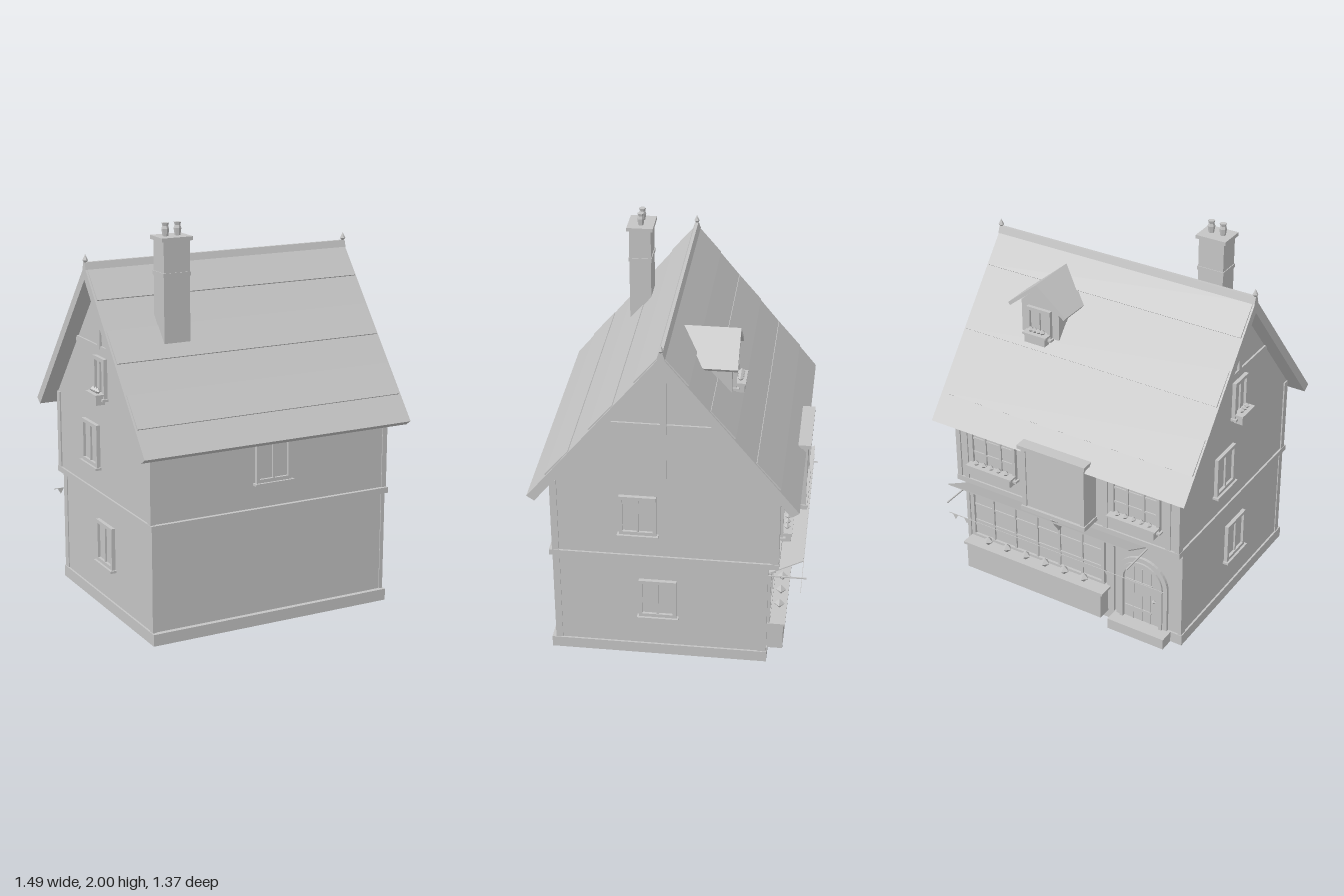
import * as THREE from 'three';

const stone = new THREE.MeshStandardMaterial({ color: 0xc4c4c4, side: THREE.DoubleSide, flatShading: true });
stone.name = 'plainGrey';

export function createModel() {
  const house = new THREE.Group();
  house.name = 'shopHouse';

  const add = (name, geo, parent = house) => {
    const m = new THREE.Mesh(geo, stone);
    m.name = name;
    parent.add(m);
    return m;
  };
  // Box given by its limits on each axis
  const box = (name, x0, x1, y0, y1, z0, z1, parent) => {
    const g = new THREE.BoxGeometry(x1 - x0, y1 - y0, z1 - z0);
    g.translate((x0 + x1) / 2, (y0 + y1) / 2, (z0 + z1) / 2);
    return add(name, g, parent);
  };
  // Profile of [z, y] points extruded along x, centred on cx
  const alongX = (name, pts, width, cx = 0) => {
    const s = new THREE.Shape(pts.map(p => new THREE.Vector2(...p)));
    const g = new THREE.ExtrudeGeometry(s, { depth: width, bevelEnabled: false });
    g.rotateY(-Math.PI / 2).translate(cx + width / 2, 0, 0);
    return add(name, g);
  };
  const gem = (name, x, y, z, r, parent) =>
    add(name, new THREE.OctahedronGeometry(r), parent).position.set(x, y, z);

  // Walls and plinth
  const RZ = 0.02, SLOPE = 0.81 / 0.663;
  box('plinth', -0.665, 0.665, 0, 0.06, -0.5, 0.605);
  box('groundFloor', -0.655, 0.655, 0.05, 0.6, -0.49, 0.58);
  alongX('upperFloor', [[0.58, 0.59], [0.58, 1.03], [RZ, 1.715], [-0.54, 1.03], [-0.54, 0.59]], 1.32);
  box('floorBand', -0.67, 0.67, 0.58, 0.61, -0.55, 0.6);
  for (const s of [-1, 1]) {
    const rim = (name, y0, y1, z0, z1, x) => box(name, Math.min(s * 0.64, s * x), Math.max(s * 0.64, s * x), y0, y1, z0, z1);
    rim('lowerPost', 0.06, 0.58, 0.55, 0.585, 0.66);
    rim('lowerPost', 0.06, 0.58, -0.497, -0.455, 0.66);
    rim('upperPost', 0.61, 1.02, 0.55, 0.585, 0.667);
    rim('upperPost', 0.61, 1.02, -0.548, -0.51, 0.667);
    rim('gablePost', s > 0 ? 1.07 : 1.36, 1.69, RZ - 0.015, RZ + 0.015, 0.672);
    rim('gableBeam', 1.345, 1.375, RZ - 0.285, RZ + 0.285, 0.67);
  }

  // Roof slabs, raised tile rows, ridge and finials
  for (const s of [-1, 1]) {
    const at = (d, lift) => [RZ + s * (d + lift * 0.774), 1.78 - d * SLOPE + lift * 0.633];
    alongX('roofSlope', [[RZ, 1.78], at(0.663, 0), [RZ + s * 0.625, 0.945], [RZ, 1.71]], 1.48);
    for (let i = 0; i < 3; i++) {
      const d = 0.01 + i * 0.22;
      alongX('tileRow', [at(d, -0.004), at(d, 0.004), at(d + 0.115, 0.008), at(d + 0.115, -0.004)], 1.46);
    }
    const profile = [[0, 0], [0.007, 0], [0.007, 0.012], [0.014, 0.022], [0, 0.052]];
    const finial = add('finial', new THREE.LatheGeometry(profile.map(p => new THREE.Vector2(...p)), 6));
    finial.position.set(s * 0.733, 1.785, RZ);
  }
  alongX('ridgeCap', [[RZ + 0.02, 1.762], [RZ + 0.008, 1.797], [RZ - 0.008, 1.797], [RZ - 0.02, 1.762]], 1.48);

  // Chimney
  box('chimneyStack', -0.457, -0.317, 1.38, 1.92, 0.21, 0.322);
  box('chimneyBand', -0.461, -0.313, 1.745, 1.765, 0.206, 0.326);
  box('chimneyCap', -0.47, -0.305, 1.917, 1.936, 0.198, 0.333);
  for (const x of [-0.42, -0.355]) {
    const pts = [[0, 0], [0.014, 0], [0.019, 0.035], [0.014, 0.05], [0.018, 0.064], [0, 0.064]];
    add('chimneyPot', new THREE.LatheGeometry(pts.map(p => new THREE.Vector2(...p)), 6)).position.set(x, 1.936, 0.265);
  }

  // Framed window facing local +z, origin at the middle of its bottom edge
  const windowUnit = (name, x, y, z, turn, w, h, { cols = 2, rows = 1, sill = true, flowers = 0 } = {}) => {
    const g = new THREE.Group();
    g.name = name;
    g.position.set(x, y, z);
    g.rotation.y = turn;
    house.add(g);
    const a = w / 2, t = 0.018;
    box('glass', -a, a, 0, h, -0.005, 0.006, g);
    for (const s of [-1, 1]) box('jamb', s * (a - t / 2) - t / 2, s * (a - t / 2) + t / 2, 0, h, 0, 0.02, g);
    box('lintel', -a, a, h - t, h, 0, 0.02, g);
    box('bottomRail', -a, a, 0, t, 0, 0.02, g);
    for (let i = 1; i < cols; i++) {
      const u = -a + (w * i) / cols;
      box('mullion', u - 0.006, u + 0.006, 0, h, 0, 0.016, g);
    }
    for (let i = 1; i < rows; i++) box('glazingBar', -a, a, (h * i) / rows - 0.005, (h * i) / rows + 0.005, 0, 0.013, g);
    if (sill) box('sill', -a - 0.01, a + 0.01, -0.012, 0, -0.005, 0.032, g);
    if (flowers) {
      box('flowerBox', -a + 0.01, a - 0.01, -0.03, 0.02, 0.01, 0.058, g);
      box('flowerBoxRim', -a, a, 0.015, 0.024, 0.01, 0.064, g);
      for (let i = 0; i < flowers; i++) gem('flower', (i - (flowers - 1) / 2) * (w - 0.05) / flowers, 0.036, 0.036, 0.018, g);
    }
    return g;
  };
  const Q = Math.PI / 2;
  windowUnit('plainSideWindow', 0, 0.74, 0.58, 0, 0.195, 0.215);
  windowUnit('upperSideWindow', 0.66, 0.74, 0.15, Q, 0.185, 0.22);
  windowUnit('lowerSideWindow', 0.655, 0.24, 0.055, Q, 0.19, 0.22);
  windowUnit('upperSideWindow', -0.66, 0.74, -0.1, -Q, 0.185, 0.22);
  windowUnit('lowerSideWindow', -0.655, 0.24, 0.05, -Q, 0.19, 0.22);
  windowUnit('gableWindow', -0.66, 1.12, 0.03, -Q, 0.13, 0.2, { flowers: 3 });
  for (const x of [0.43, -0.42]) windowUnit('shopUpperWindow', x, 0.71, -0.54, Math.PI, 0.28, 0.25, { cols: 3, rows: 3, flowers: 5 });

  // Dormer with its own pitched roof
  const DX = 0.3;
  const dormer = new THREE.Shape([[-0.11, 1.39], [0.11, 1.39], [0.11, 1.6], [0, 1.695], [-0.11, 1.6]].map(p => new THREE.Vector2(...p)));
  add('dormerBody', new THREE.ExtrudeGeometry(dormer, { depth: 0.24, bevelEnabled: false })).position.set(DX, 0, -0.28);
  for (const s of [-1, 1]) {
    const p = [[0, 1.72], [s * 0.17, 1.58], [s * 0.16, 1.565], [0, 1.695]];
    const geo = new THREE.ExtrudeGeometry(new THREE.Shape(p.map(q => new THREE.Vector2(...q))), { depth: 0.29, bevelEnabled: false });
    // Slope the inner end back to meet the main roof
    const pos = geo.attributes.position;
    for (let i = 0; i < pos.count; i++) {
      if (pos.getZ(i) > 0.1) pos.setZ(i, 0.312 + RZ - (1.78 - pos.getY(i)) / SLOPE + 0.01);
    }
    geo.computeVertexNormals();
    add('dormerRoof', geo).position.set(DX, 0, -0.312);
  }
  windowUnit('dormerWindow', DX, 1.43, -0.28, Math.PI, 0.14, 0.15, { flowers: 4 });

  // Bay between the upper shop windows, with pointed base
  box('bay', -0.18, 0.18, 0.64, 1.0, -0.645, -0.53);
  for (const s of [-1, 1]) box('bayTrim', s * 0.172 - 0.012, s * 0.172 + 0.012, 0.65, 1.0, -0.652, -0.53);
  box('bayBase', -0.19, 0.19, 0.63, 0.655, -0.66, -0.53);
  box('bayCap', -0.198, 0.198, 1.0, 1.02, -0.668, -0.54);
  const pendant = add('bayPendant', new THREE.ConeGeometry(0.062, 0.1, 8));
  pendant.rotation.x = Math.PI;
  pendant.position.set(0, 0.585, -0.605);
  for (const x of [-0.6, -0.24, 0.24, 0.61]) box('upperStud', x - 0.014, x + 0.014, 0.61, 1.0, -0.547, -0.53);

  // Shop window, counter and goods
  windowUnit('shopWindow', 0.205, 0.21, -0.49, Math.PI, 0.83, 0.31, { cols: 6, rows: 3, sill: false });
  box('counter', -0.23, 0.61, 0.05, 0.2, -0.578, -0.48);
  box('counterTop', -0.245, 0.625, 0.2, 0.214, -0.588, -0.48);
  for (let i = 0; i < 6; i++) gem('counterPlant', -0.11 + i * 0.12, 0.245, -0.55, 0.028);
  box('shopPost', -0.265, -0.225, 0.06, 0.58, -0.505, -0.48);

  // Tilted awning on two rods
  alongX('awning', [[-0.5, 0.533], [-0.5, 0.539], [-0.668, 0.628], [-0.668, 0.622]], 1.09, 0.095);
  for (const x of [-0.45, 0.64]) box('awningRod', x - 0.003, x + 0.003, 0.518, 0.524, -0.687, -0.48);

  // Bunting
  box('buntingString', -0.65, 0.65, 0.439, 0.442, -0.662, -0.659);
  for (let i = 0; i < 18; i++) {
    const x = -0.612 + i * 0.072;
    const flag = new THREE.Shape([[-0.018, 0.44], [0, 0.408], [0.018, 0.44]].map(p => new THREE.Vector2(...p)));
    add('buntingFlag', new THREE.ShapeGeometry(flag)).position.set(x, 0, -0.6605);
  }

  // Arched door, surround and step
  const arch = (r, y0, spring) => {
    const s = new THREE.Shape();
    s.moveTo(-r, y0);
    s.lineTo(r, y0);
    s.lineTo(r, spring);
    s.absarc(0, spring, r, 0, Math.PI, false);
    s.lineTo(-r, y0);
    return s;
  };
  const door = new THREE.Group();
  door.name = 'door';
  door.position.set(-0.43, 0, -0.49);
  door.rotation.y = Math.PI;
  house.add(door);
  const archPart = (name, r, inner, depth) => {
    const s = arch(r, 0.05, 0.31);
    if (inner) s.holes.push(arch(inner, 0.052, 0.31));
    add(name, new THREE.ExtrudeGeometry(s, { depth, bevelEnabled: false, curveSegments: 10 }), door);
  };
  archPart('outerSurround', 0.15, 0.125, 0.016);
  archPart('innerSurround', 0.125, 0.105, 0.026);
  archPart('doorLeaf', 0.106, 0, 0.008);
  for (const x of [-0.05, 0, 0.05]) box('doorBatten', x - 0.003, x + 0.003, 0.06, 0.39, 0.006, 0.012, door);
  for (const y of [0.13, 0.3]) box('doorHinge', -0.1, 0.06, y - 0.006, y + 0.006, 0.006, 0.014, door);
  gem('doorKnob', 0.075, 0.22, 0.018, 0.012, door);
  box('doorStep', -0.6, -0.27, 0, 0.06, -0.577, -0.48);

  return house;
}
